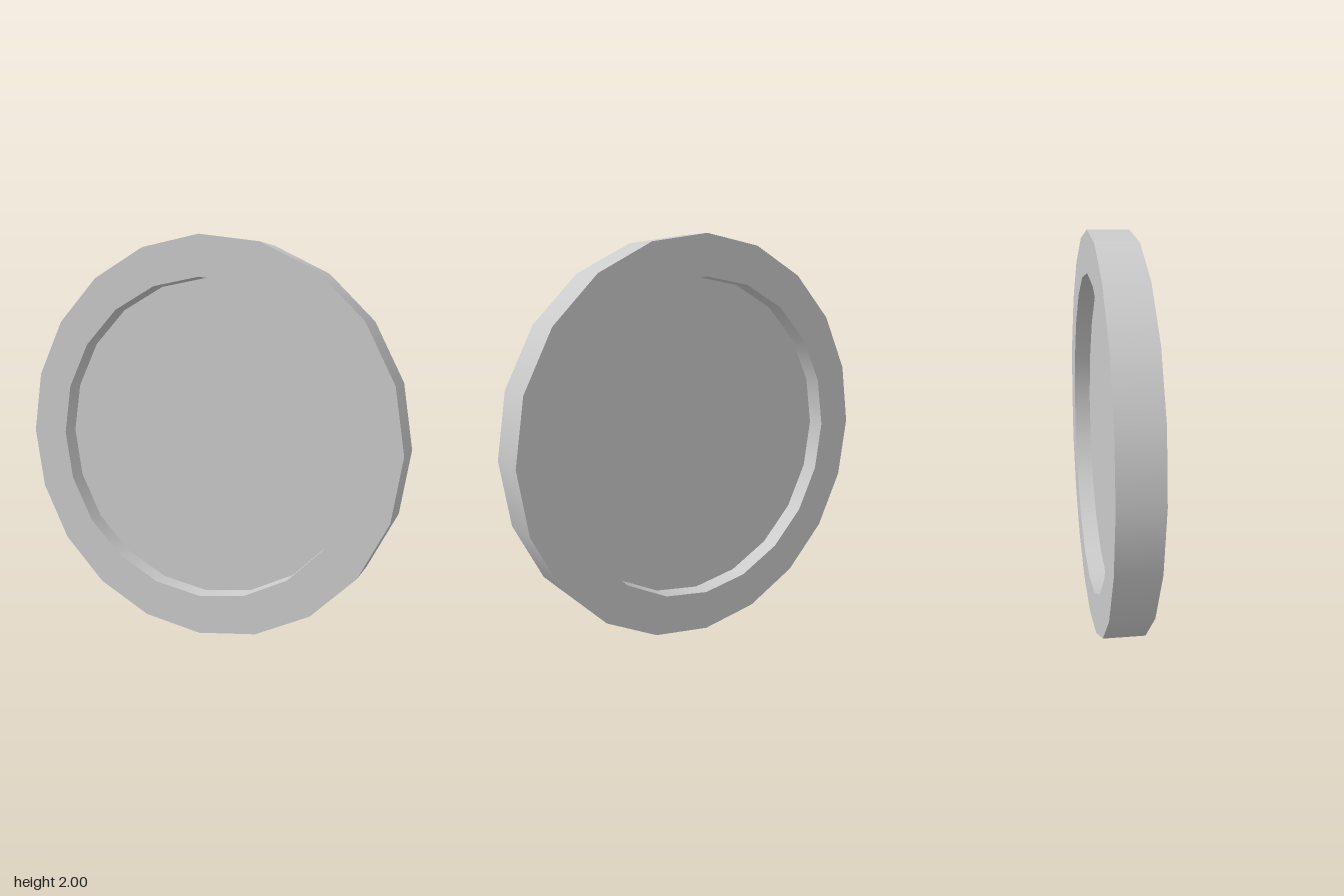
import * as THREE from 'three';
import { mergeGeometries } from 'three/addons/utils/BufferGeometryUtils.js';

const SIDES = 20;
const OUTER = 1, INNER = 0.8; // radii
const HALF = 0.1, PANEL = 0.01; // half thicknesses

// Turns each profile segment on its own: smooth around, sharp between segments
function turned(name, profile, material) {
  const bands = [];
  for (let i = 0; i < profile.length - 1; i++) {
    const ends = [profile[i], profile[i + 1]].map(([r, h]) => new THREE.Vector2(r, h));
    bands.push(new THREE.LatheGeometry(ends, SIDES));
  }
  const geometry = mergeGeometries(bands);
  geometry.rotateX(Math.PI / 2); // axis along z
  const mesh = new THREE.Mesh(geometry, material);
  mesh.name = name;
  mesh.position.y = OUTER;
  return mesh;
}

export function createModel() {
  const model = new THREE.Group();
  model.name = 'recessedDisc';
  const grey = new THREE.MeshStandardMaterial({ color: 0xcccccc });

  // Raised rim: inner wall, flat faces and outer wall on both sides of the panel
  model.add(turned('rim', [
    [INNER, -PANEL], [INNER, -HALF], [OUTER, -HALF],
    [OUTER, HALF], [INNER, HALF], [INNER, PANEL],
  ], grey));

  // Thin panel in the middle, recessed from front and back
  model.add(turned('frontPanel', [[INNER, PANEL], [0, PANEL]], grey));
  model.add(turned('backPanel', [[0, -PANEL], [INNER, -PANEL]], grey));

  return model;
}
